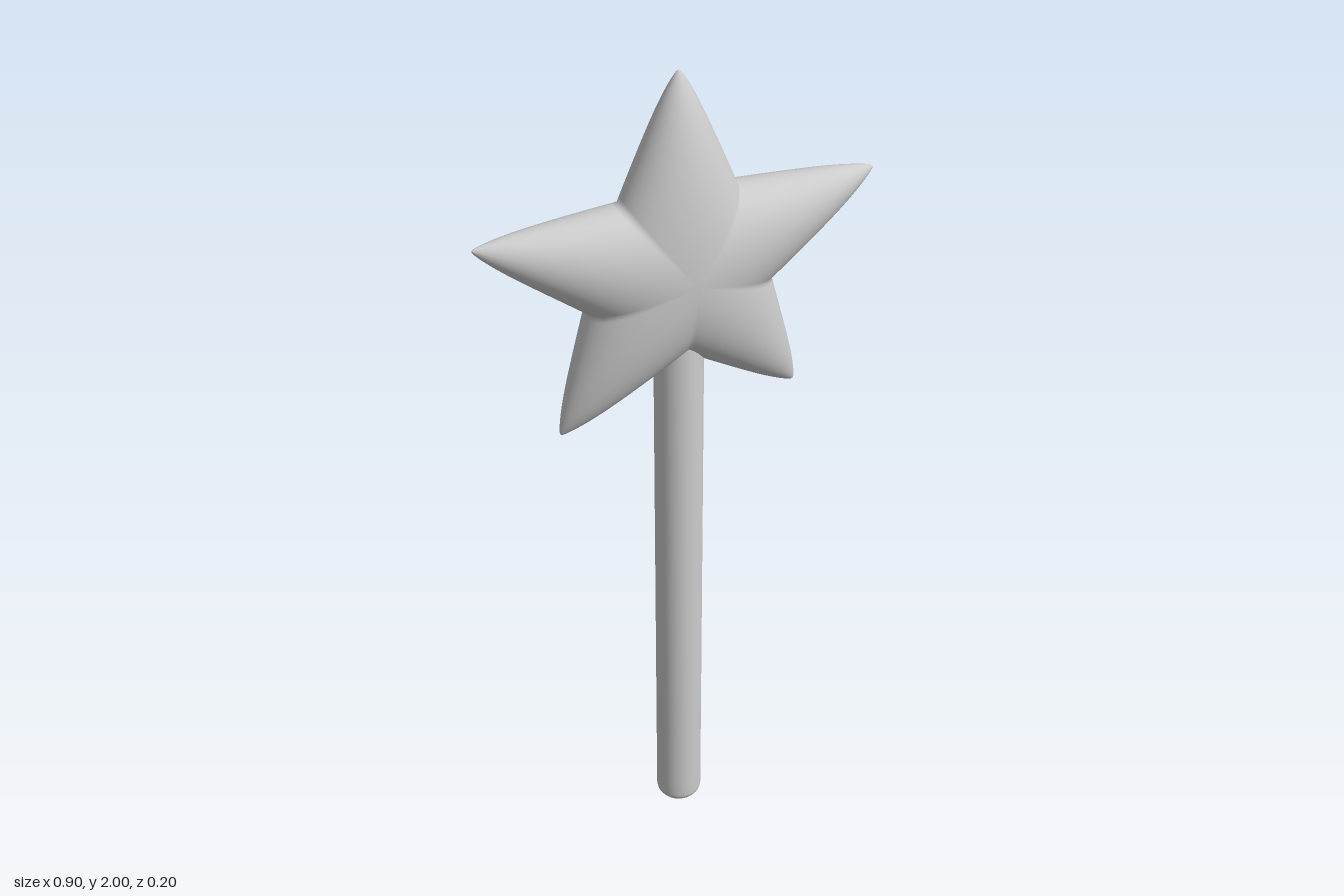
import * as THREE from 'three';

const ARMS = 5, ARM_STEPS = 24, RINGS = 32;
const LENGTH = 0.446, DEPTH = 0.1, SECTOR = Math.PI / ARMS;

// Arm shape along its axis: rounded tip, half-width and half-thickness
const cap = s => Math.sqrt(Math.max(0, 1 - Math.pow(s / LENGTH, 16)));
const width = s => 0.19 * (1 - s / 0.48) * cap(s);
const ridge = s => DEPTH * (1 - 0.9 * (s / LENGTH) ** 2) * cap(s);

// Distance from the star's centre to its outline, at an angle off an arm's axis
function outline(phi) {
  let lo = 0, hi = LENGTH / Math.cos(phi);
  for (let i = 0; i < 40; i++) {
    const r = (lo + hi) / 2;
    if (r * Math.sin(phi) < width(r * Math.cos(phi))) lo = r; else hi = r;
  }
  return lo;
}

// Puffed star: elliptical arms meeting in soft valleys, front and back sharing a rim
function starGeometry() {
  const angles = [];
  for (let a = 0; a < ARMS; a++) {
    for (let i = -ARM_STEPS; i < ARM_STEPS; i++) {
      const u = i / ARM_STEPS; // finer steps near the tip
      angles.push({ axis: Math.PI / 2 + a * 2 * SECTOR, phi: Math.sign(u) * SECTOR * Math.abs(u) ** 1.8 });
    }
  }
  const n = angles.length, rows = 2 * RINGS - 1;
  const pos = [0, 0, DEPTH], index = [];
  // Rings run from the front centre over the rim to the back centre
  for (let k = 1; k <= rows; k++) {
    const t = Math.sin((Math.PI / 2) * k / RINGS);
    const side = k === RINGS ? 0 : k < RINGS ? 1 : -1;
    for (const { axis, phi } of angles) {
      const r = t * outline(Math.abs(phi));
      const s = r * Math.cos(phi), v = r * Math.sin(phi);
      const w = Math.max(width(s), 1e-6);
      const z = side * ridge(s) * Math.sqrt(Math.max(0, 1 - (v / w) ** 2));
      pos.push(1.058 * r * Math.cos(axis + phi), r * Math.sin(axis + phi), z);
    }
  }
  pos.push(0, 0, -DEPTH);
  const last = pos.length / 3 - 1;
  for (let j = 0; j < n; j++) {
    const m = (j + 1) % n;
    index.push(0, 1 + j, 1 + m);
    for (let k = 0; k < rows - 1; k++) {
      const a = 1 + k * n, b = a + n;
      index.push(a + j, b + j, b + m, a + j, b + m, a + m);
    }
    const e = 1 + (rows - 1) * n;
    index.push(e + j, last, e + m);
  }
  const g = new THREE.BufferGeometry();
  g.setAttribute('position', new THREE.Float32BufferAttribute(pos, 3));
  g.setIndex(index);
  g.computeVertexNormals();
  return g;
}

export function createModel() {
  const group = new THREE.Group();
  group.name = 'starWand';
  const material = new THREE.MeshStandardMaterial({ color: 0xcccccc });

  const star = new THREE.Mesh(starGeometry(), material);
  star.name = 'star';
  star.position.y = 1.554;
  group.add(star);

  // Round stick with a softened foot, its top hidden inside the star
  const profile = [[0, 0], [0.025, 0.001], [0.038, 0.005], [0.048, 0.012], [0.053, 0.02], [0.055, 0.03], [0.055, 0.06], [0.055, 1.45], [0, 1.45]];
  const handle = new THREE.Mesh(
    new THREE.LatheGeometry(profile.map(([x, y]) => new THREE.Vector2(x, y)), 40), material);
  handle.name = 'handle';
  group.add(handle);
  return group;
}
